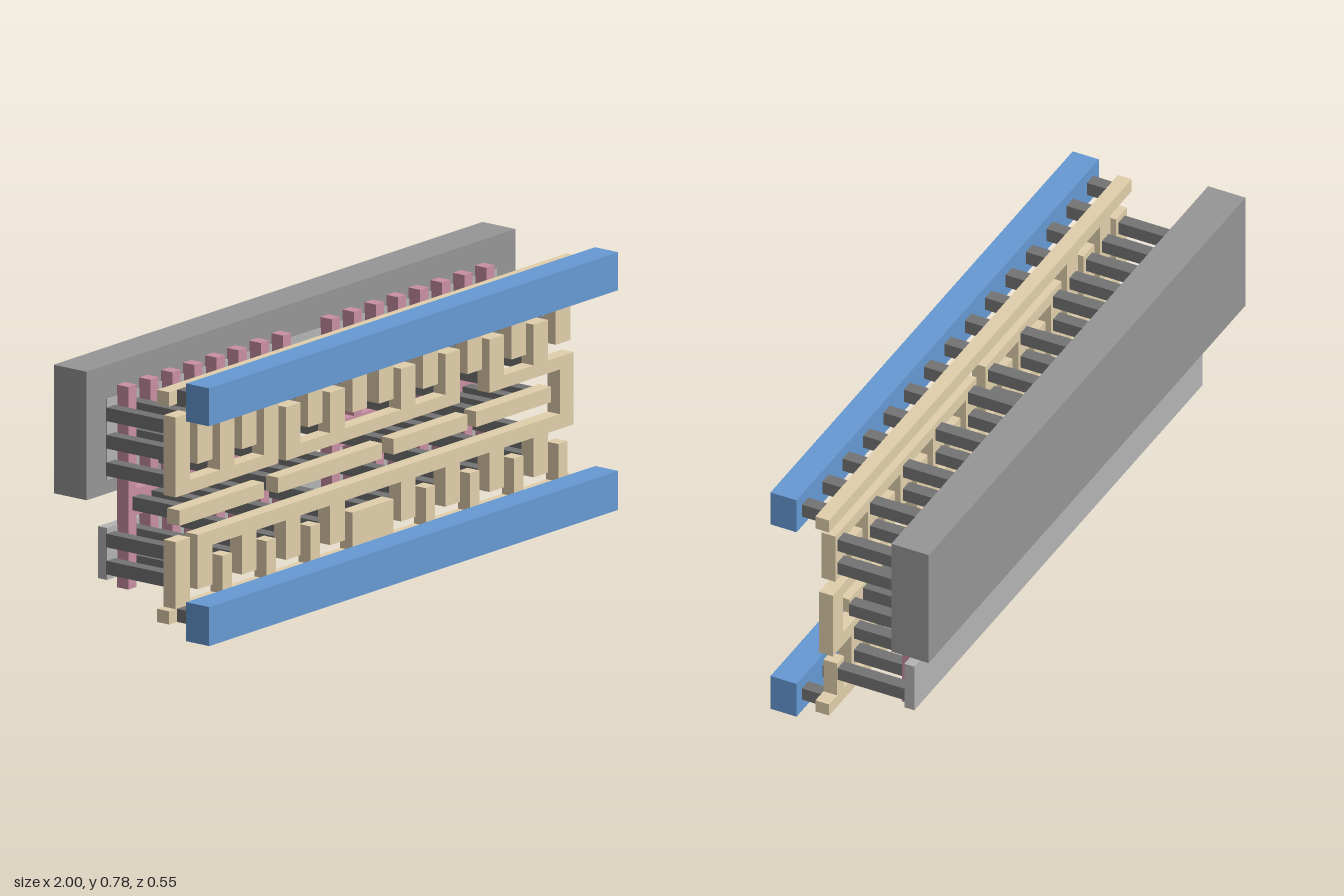
import * as THREE from 'three';

const mat = (color) => new THREE.MeshStandardMaterial({ color, flatShading: true });

export function createModel() {
  const model = new THREE.Group();
  const blue = mat(0x6699d4), tan = mat(0xe0cfab), pink = mat(0xc98fa3);
  const dark = mat(0x737373), grey = mat(0x969696), light = mat(0xb4b4b4);

  const group = (name) => {
    const g = new THREE.Group();
    g.name = name;
    model.add(g);
    return g;
  };
  // Box given by its limits on each axis
  const box = (parent, name, material, x0, x1, y0, y1, z0, z1) => {
    const m = new THREE.Mesh(new THREE.BoxGeometry(x1 - x0, y1 - y0, z1 - z0), material);
    m.position.set((x0 + x1) / 2, (y0 + y1) / 2, (z0 + z1) / 2);
    m.name = name;
    parent.add(m);
  };

  // Column positions: 8 gates and 9 terminals in each half
  const pitch = 0.103;
  const left = (i) => -0.893 + pitch * i;
  const right = (i) => 0.056 + pitch * i;

  // Base slabs
  box(model, 'backSlab', grey, -1, 1, 0.378, 0.767, -0.272, -0.149);
  box(model, 'upperDiffusion', light, -0.91, 0.91, 0.42, 0.665, -0.178, -0.145);
  box(model, 'lowerDiffusion', light, -0.91, 0.91, 0.118, 0.275, -0.178, -0.145);

  // Gate columns, joined in fours by a pad
  const gates = group('gates');
  for (const at of [left, right]) {
    for (let i = 0; i < 8; i++) {
      const x = at(i + 0.5);
      box(gates, 'gateColumn', pink, x - 0.019, x + 0.019, 0.085, 0.698, -0.148, -0.105);
    }
    for (const i of [0.5, 4.5])
      box(gates, 'gatePad', pink, at(i) - 0.019, at(i + 3) + 0.019, 0.303, 0.383, -0.148, -0.105);
  }

  // Wiring layer
  const wires = group('wiring');
  const wire = (name, x0, x1, y0, y1) => box(wires, name, tan, x0, x1, y0, y1, 0.08, 0.125);
  const pins = group('contacts');
  const pin = (x, y, z0 = -0.146) =>
    box(pins, 'contact', dark, x - 0.02, x + 0.02, y - 0.0205, y + 0.0205, z0, 0.08);
  const W = 0.034; // half width of a finger
  const finger = (name, x, y0, y1, rows) => {
    wire(name, x - W, x + W, y0, y1);
    rows.forEach((y) => pin(x, y));
  };
  const ROW = [0.156, 0.238, 0.454, 0.537, 0.62];

  // Power rails with their studs
  const rails = group('powerRails');
  for (const [y0, y1, m0, m1] of [[0, 0.118, 0.04, 0.08], [0.665, 0.78, 0.70, 0.743]]) {
    box(rails, 'powerRail', blue, -0.955, 0.953, y0, y1, 0.187, 0.273);
    wire('railStrip', -0.957, 0.953, m0, m1);
    for (let i = 0; i < 15; i++) {
      const x = -0.9 + i * 0.1285;
      box(rails, 'railStud', dark, x - 0.02, x + 0.02, m0, m1, 0.125, 0.187);
    }
  }

  // Upper wiring: first comb, with posts hanging from the top rail between its teeth
  wire('upperBar', left(0) - W, left(4) + W, 0.62, 0.62 + 0.0001);
  wires.children.pop();
  wire('lowerCombBar', left(0) - W, left(3) + W, 0.418, 0.457);
  for (const i of [0, 2]) finger('combTooth', left(i), 0.418, 0.66, ROW.slice(2));
  finger('combTooth', left(4), 0.418, 0.66, ROW.slice(2));
  wire('lowerCombBar', left(3), left(4) + W, 0.418, 0.457);
  for (const i of [1, 3]) finger('railPost', left(i), 0.497, 0.72, ROW.slice(3));

  // Hanging combs in each half
  wire('hangingCombBar', left(4) - W, left(8) + W, 0.62, 0.66);
  for (const i of [6, 8]) finger('hangingTooth', left(i), 0.497, 0.66, ROW.slice(3));
  wire('hangingCombBar', right(0) - W, right(8) + W, 0.62, 0.66);
  for (const i of [0, 2, 4, 6, 8]) finger('hangingTooth', right(i), 0.497, 0.66, ROW.slice(3));

  // Rising combs: the middle one and the output one
  wire('risingCombBar', left(5) - W, right(3) + W, 0.418, 0.457);
  wire('risingCombBar', right(5) - W, 0.93, 0.418, 0.457);
  for (const x of [left(5), left(7), right(1), right(3), right(5), right(7)])
    finger('risingTooth', x, 0.418, 0.58, ROW.slice(2, 4));

  // Output wire: riser at the side, long bar and lower fingers
  wire('outputRiser', 0.865, 0.93, 0.238, 0.457);
  wire('outputBar', left(1) - W, 0.93, 0.238, 0.283);
  for (const at of [left, right])
    for (const i of [1, 3, 5, 7]) finger('outputFinger', at(i), 0.118, 0.283, ROW.slice(0, 2));

  // Posts rising from the bottom rail
  finger('tallPost', left(0), 0.06, 0.283, ROW.slice(0, 2));
  wire('centrePost', -0.103, 0.09, 0.06, 0.194);
  const posts = [2, 4, 6].map(left).concat([2, 4, 6, 8].map(right));
  for (const x of posts) wire('shortPost', x - 0.022, x + 0.022, 0.06, 0.194);
  for (const x of [...posts, left(8), right(0)]) pin(x, ROW[0]);

  // Input bars across the gate pads
  for (const [x0, x1, c] of [[-0.91, -0.515, left(2)], [-0.45, 0.035, left(6)],
    [0.09, 0.435, right(2)], [0.475, 0.825, right(6)]]) {
    wire('inputBar', x0, x1, 0.328, 0.375);
    for (let i = -1.5; i < 2; i++) pin(c + i * 0.09, 0.342, -0.1485);
  }

  return model;
}
